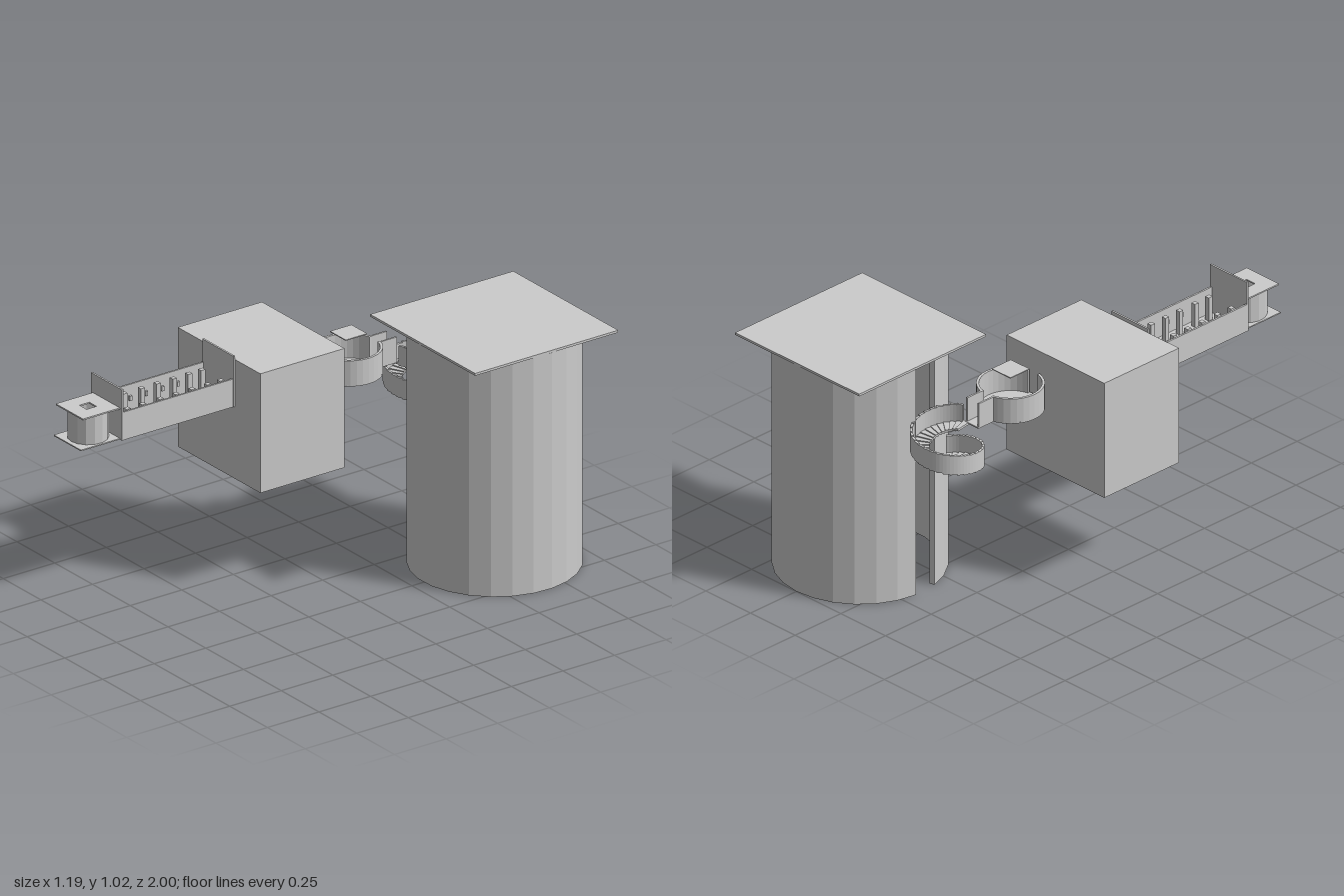
import * as THREE from 'three';

const material = new THREE.MeshStandardMaterial({ color: 0xcccccc, flatShading: true, side: THREE.DoubleSide });
const rad = THREE.MathUtils.degToRad;

export function createModel() {
  const root = new THREE.Group();

  function add(name, geometry, x = 0, y = 0, z = 0, parent = root) {
    const mesh = new THREE.Mesh(geometry, material);
    mesh.name = name;
    mesh.position.set(x, y, z);
    parent.add(mesh);
    return mesh;
  }

  // Box given by its min and max limits
  function block(name, x0, x1, y0, y1, z0, z1, parent = root) {
    return add(name, new THREE.BoxGeometry(x1 - x0, y1 - y0, z1 - z0),
      (x0 + x1) / 2, (y0 + y1) / 2, (z0 + z1) / 2, parent);
  }

  // Upright extrusion of a plan shape; plan angle 0 is +x, -90 is +z
  function upright(shape, height) {
    const g = new THREE.ExtrudeGeometry(shape, { depth: height, bevelEnabled: false });
    return g.rotateX(-Math.PI / 2);
  }

  // Plan of a ring sector between two radii and two angles in degrees
  function sector(inner, outer, from, to, segments) {
    const points = [];
    for (let i = 0; i <= segments; i++) {
      const a = rad(from + (to - from) * i / segments);
      points.push(new THREE.Vector2(outer * Math.cos(a), outer * Math.sin(a)));
    }
    for (let i = segments; i >= 0; i--) {
      const a = rad(from + (to - from) * i / segments);
      points.push(new THREE.Vector2(inner * Math.cos(a), inner * Math.sin(a)));
    }
    return new THREE.Shape(points);
  }

  // Tall hollow tower with a doorway slot and a square roof slab
  add('towerWall', upright(sector(0.322, 0.346, 193, 535, 24), 1.012), 0.248, 0, -0.653);
  block('towerRoof', -0.103, 0.592, 1.012, 1.022, -1, -0.306);

  // Main hall
  block('hall', -0.6, -0.053, 0.425, 0.937, -0.145, 0.263);

  // Open corridor with side walls, end screens and two rows of columns
  const corridor = new THREE.Group();
  corridor.name = 'corridor';
  root.add(corridor);
  block('corridorFloor', -0.428, -0.222, 0.735, 0.742, 0.263, 0.81, corridor);
  for (const x of [-0.428, -0.23]) block('corridorWall', x, x + 0.008, 0.735, 0.855, 0.263, 0.81, corridor);
  for (const z of [0.263, 0.803]) block('endScreen', -0.427, -0.221, 0.735, 0.953, z, z + 0.008, corridor);
  [0.302, 0.365, 0.44, 0.518, 0.595, 0.68, 0.755].forEach((z, i) => {
    for (const x of [-0.388, -0.263]) {
      block('column', x - 0.01, x + 0.01, 0.742, 0.845, z - 0.01, z + 0.01, corridor);
    }
    for (const x of [-0.412, -0.238]) {
      block('wallBracket', x - 0.005, x + 0.005, 0.79, 0.81, z + 0.03, z + 0.04, corridor);
    }
  });

  // Small round end chamber between square plates, with a skylight
  const chamber = new THREE.Group();
  chamber.name = 'endChamber';
  chamber.position.set(-0.325, 0, 0.9);
  root.add(chamber);
  add('chamberWall', upright(sector(0.073, 0.082, 100, 440, 14), 0.125), 0, 0.74, 0, chamber);
  block('chamberFloor', -0.09, 0.09, 0.735, 0.74, -0.09, 0.1, chamber);
  const roof = new THREE.Shape([[-1, -1], [1, -1], [1, 1], [-1, 1]].map(p => new THREE.Vector2(p[0] * 0.09, p[1] * 0.09)));
  roof.holes.push(new THREE.Path([[-1, -1], [-1, 1], [1, 1], [1, -1]].map(p => new THREE.Vector2(p[0] * 0.024, p[1] * 0.024))));
  add('chamberRoof', upright(roof, 0.006), 0, 0.865, 0, chamber);

  // Round room with openings to front and back and a floating canopy
  const room = new THREE.Group();
  room.name = 'roundRoom';
  room.position.set(-0.22, 0, -0.287);
  root.add(room);
  add('roomFloor', new THREE.CylinderGeometry(0.135, 0.135, 0.006, 28), 0, 0.738, 0, room);
  for (const start of [-78, 102]) {
    add('roomWall', upright(sector(0.124, 0.135, start, start + 156, 14), 0.11), 0, 0.735, 0, room);
  }
  block('canopy', -0.052, 0.052, 0.903, 0.907, -0.052, 0.052, room);

  // Short passage from the round room to the stair
  block('passageFloor', -0.257, -0.183, 0.735, 0.741, -0.5, -0.415);
  for (const x of [-0.257, -0.191]) block('passageWall', x, x + 0.008, 0.735, 0.845, -0.495, -0.415);

  // Spiral stair winding down beside the tower, with an outer parapet
  const stair = new THREE.Group();
  stair.name = 'spiralStair';
  stair.position.set(-0.22, 0, -0.633);
  root.add(stair);
  const steps = 36, turn = 400 / steps;
  for (let i = 0; i < steps; i++) {
    const a = -82 + i * turn;
    const y = 0.73 - 0.15 * i / (steps - 1);
    add('step', upright(sector(0.07, 0.146, a, a + turn, 2), 0.01), 0, y, 0, stair);
    if (i > 0) add('parapet', upright(sector(0.136, 0.146, a, a + turn, 2), 0.085), 0, y, 0, stair);
  }

  return root;
}
